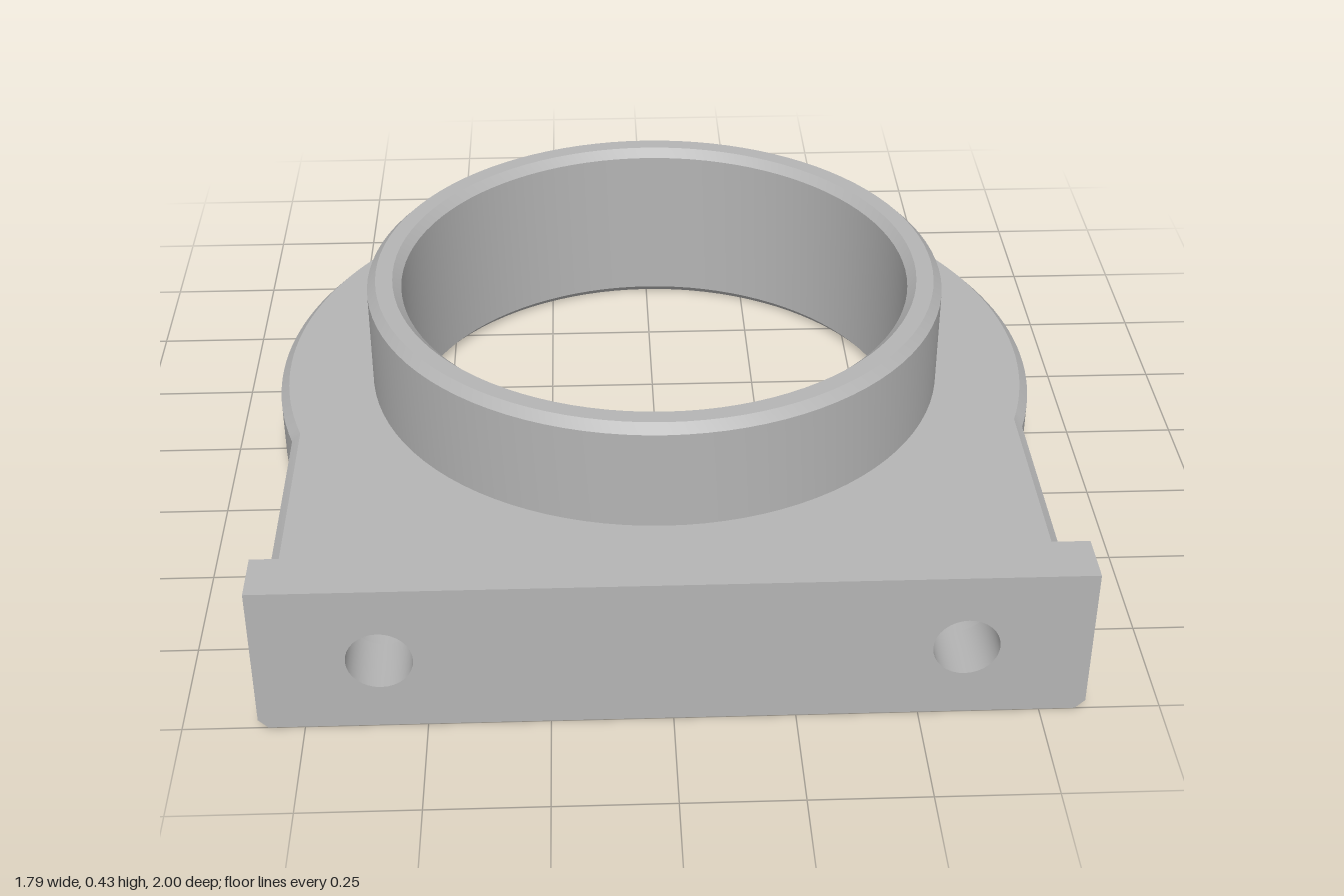
import * as THREE from 'three';
import { toCreasedNormals } from 'three/addons/utils/BufferGeometryUtils.js';

const C = 0.02;                                   // chamfer size
const CZ = -0.105, R = 0.895, SIDE = 0.845;       // plate outline
const PLATE_Y = 0.168, WALL_Y = 0.342, WALL_Z = 0.866;
const HOLE_X = 0.59, HOLE_R = 0.068, DRILL_Z = 0.83, TIP_Z = 0.789;

const v2 = (x, y) => new THREE.Vector2(x, y);

// Plate outline in (x, z), from the right front corner around the back
function outline(inset) {
  const r = R - inset, x = SIDE - inset, n = 96;
  const t0 = Math.acos(x / r), pts = [v2(x, WALL_Z)];
  for (let i = 0; i <= n; i++) {
    const t = -t0 + (Math.PI + 2 * t0) * i / n;
    pts.push(v2(r * Math.cos(t), CZ - r * Math.sin(t)));
  }
  pts.push(v2(-x, WALL_Z));
  return pts;
}

function circlePath(x, y, r, n = 96) {
  const pts = [];
  for (let i = 0; i < n; i++) {
    const a = i / n * Math.PI * 2;
    pts.push(v2(x + r * Math.cos(a), y + r * Math.sin(a)));
  }
  return new THREE.Path(pts);
}

// Chamfered rim of the plate, lofted through four outlines
function rimGeometry() {
  const layers = [[C, 0], [0, C], [0, PLATE_Y - C], [C, PLATE_Y]];
  const pos = [], idx = [];
  let n = 0;
  for (const [inset, y] of layers) {
    const pts = outline(inset);
    n = pts.length;
    pts.forEach(p => pos.push(p.x, y, p.y));
  }
  for (let l = 0; l < layers.length - 1; l++) {
    for (let i = 0; i < n - 1; i++) {
      const a = l * n + i, b = a + n;
      idx.push(a, a + 1, b + 1, a, b + 1, b);
    }
  }
  const g = new THREE.BufferGeometry();
  g.setAttribute('position', new THREE.Float32BufferAttribute(pos, 3));
  g.setIndex(idx);
  return g;
}

export function createModel() {
  const group = new THREE.Group();
  const grey = new THREE.MeshStandardMaterial({ color: 0xb4b4b4 });
  grey.name = 'grey metal';

  const add = (name, geometry, crease = 0.3) => {
    const mesh = new THREE.Mesh(toCreasedNormals(geometry, crease), grey);
    mesh.name = name;
    group.add(mesh);
    return mesh;
  };

  // Base plate: rim, underside and top with the drill notches
  add('plateRim', rimGeometry());

  const under = new THREE.Shape(outline(C));
  under.holes.push(circlePath(0, CZ, 0.615));
  add('plateUnderside', new THREE.ShapeGeometry(under).rotateX(Math.PI / 2));

  const topPts = outline(C);
  for (const x of [-HOLE_X, HOLE_X]) {
    topPts.push(v2(x - HOLE_R, WALL_Z), v2(x - HOLE_R, DRILL_Z), v2(x, TIP_Z),
      v2(x + HOLE_R, DRILL_Z), v2(x + HOLE_R, WALL_Z));
  }
  const top = new THREE.Shape(topPts.map(p => v2(p.x, -p.y)));
  top.holes.push(circlePath(0, -CZ, 0.675));
  add('plateTop', new THREE.ShapeGeometry(top).rotateX(-Math.PI / 2).translate(0, PLATE_Y, 0));

  // Raised collar with the through bore
  const collar = [[0.675, PLATE_Y], [0.675, 0.405], [0.655, 0.425], [0.615, 0.425],
    [0.595, 0.405], [0.595, C], [0.615, 0]].map(p => v2(...p));
  add('collar', new THREE.LatheGeometry(collar, 96).translate(0, 0, CZ));

  // Front wall with two bolt holes and chamfered lower corners
  const wall = new THREE.Shape([v2(-SIDE + C, 0), v2(SIDE - C, 0), v2(SIDE, C),
    v2(SIDE, WALL_Y - C), v2(-SIDE, WALL_Y - C), v2(-SIDE, C)]);
  for (const x of [-HOLE_X, HOLE_X]) wall.holes.push(circlePath(x, PLATE_Y, HOLE_R, 32));
  add('frontWall', new THREE.ExtrudeGeometry(wall, { depth: 1 - WALL_Z, bevelEnabled: false })
    .translate(0, 0, WALL_Z));

  // Top strip of the wall, chamfered along the rear edge
  const strip = new THREE.Shape([v2(-1, WALL_Y - C), v2(-WALL_Z, WALL_Y - C),
    v2(-WALL_Z - C, WALL_Y), v2(-1, WALL_Y)]);
  add('frontWallTop', new THREE.ExtrudeGeometry(strip, { depth: SIDE * 2, bevelEnabled: false })
    .translate(0, 0, -SIDE).rotateY(Math.PI / 2));

  // Drill grooves with conical ends, sunk into the plate behind the wall
  const groove = [v2(HOLE_R, WALL_Z), v2(HOLE_R, DRILL_Z), v2(0, TIP_Z)];
  for (const x of [-HOLE_X, HOLE_X]) {
    add(x > 0 ? 'leftDrillGroove' : 'rightDrillGroove',
      new THREE.LatheGeometry(groove, 16, -Math.PI / 2, Math.PI)
        .rotateX(Math.PI / 2).translate(x, PLATE_Y, 0));
  }
  return group;
}
